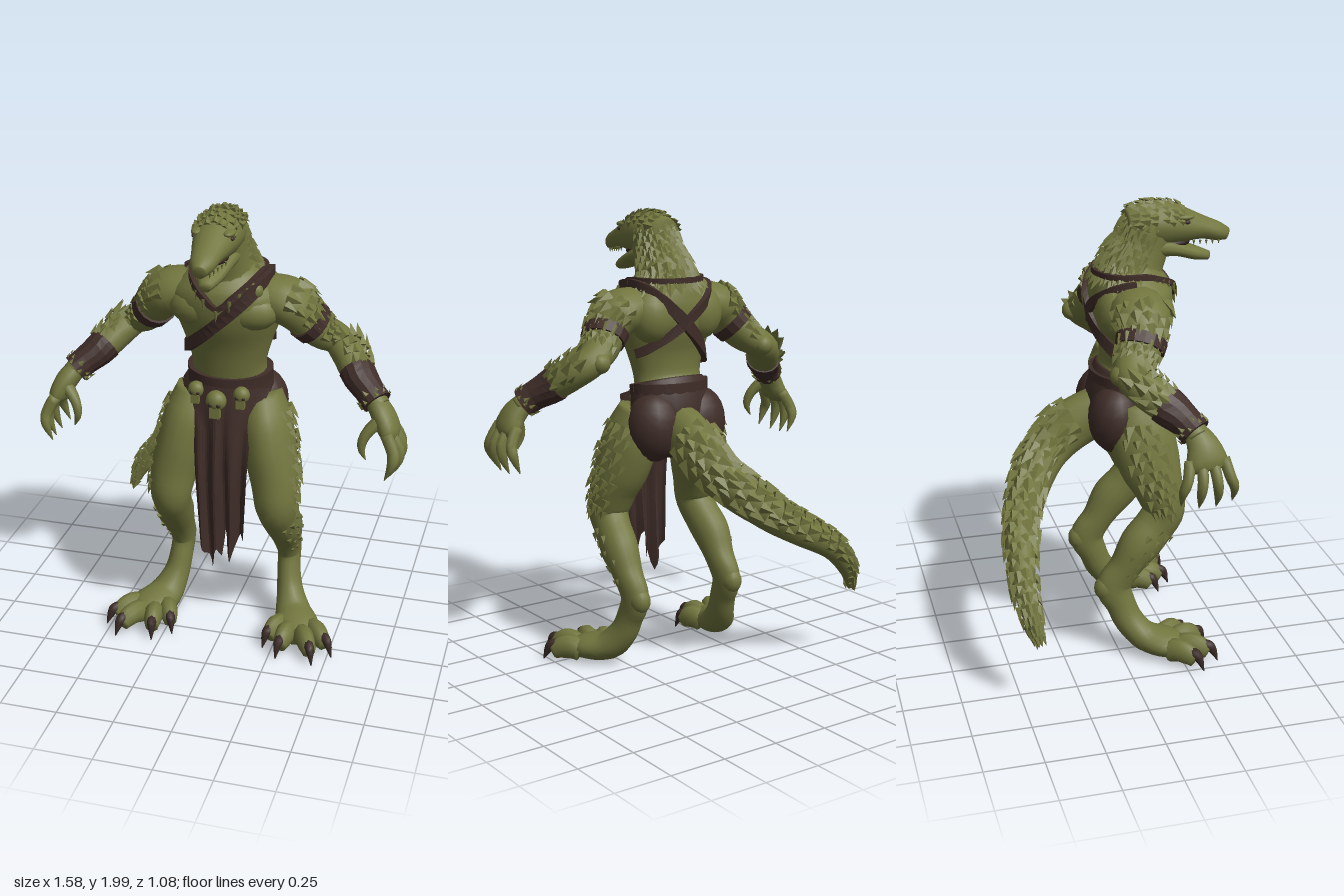
import * as THREE from 'three';
import { mergeGeometries } from 'three/addons/utils/BufferGeometryUtils.js';

const V = (x, y, z) => new THREE.Vector3(x, y, z);
const X = V(1, 0, 0), Z = V(0, 0, 1), PI = Math.PI;
let seed = 7;
const rnd = () => (seed = (seed * 16807) % 2147483647) / 2147483647;

// Smooth body through sections [x, y, z, radius along ref, radius across]
function surface(rows, ref) {
  const at = (t) => {
    const f = Math.min(Math.max(t, 0), 1) * (rows.length - 1), i = Math.min(Math.floor(f), rows.length - 2), u = f - i;
    const [p, q, r, s] = [-1, 0, 1, 2].map((k) => rows[Math.min(Math.max(i + k, 0), rows.length - 1)]);
    return q.map((v, c) => v + 0.5 * u * (r[c] - p[c] + u * (2 * p[c] - 5 * v + 4 * r[c] - s[c] + u * (3 * (v - r[c]) + s[c] - p[c]))));
  };
  const centre = (t) => V(...at(t).slice(0, 3));
  const point = (t, a) => {
    const c = centre(t), row = at(t);
    const tan = centre(Math.min(t + 0.01, 1)).sub(centre(Math.max(t - 0.01, 0))).normalize();
    const b = (typeof ref === 'function' ? ref(c) : ref).clone();
    b.addScaledVector(tan, -b.dot(tan)).normalize();
    const n = b.clone().cross(tan);
    return c.addScaledVector(b, row[3] * Math.cos(a)).addScaledVector(n, row[4] * Math.sin(a));
  };
  return { centre, point };
}

// Skin a surface with rings and end caps
function skin(s, n = 16, steps = 24, phase = 0) {
  const pos = [], idx = [];
  for (let i = 0; i <= steps; i++)
    for (let j = 0; j < n; j++) pos.push(...s.point(i / steps, phase + (j / n) * 2 * PI).toArray());
  pos.push(...s.centre(0).toArray(), ...s.centre(1).toArray());
  const c0 = (steps + 1) * n, last = steps * n;
  for (let j = 0; j < n; j++) {
    const k = (j + 1) % n;
    for (let i = 0; i < steps; i++) {
      const a = i * n + j, b = i * n + k;
      idx.push(a, a + n, b, b, a + n, b + n);
    }
    idx.push(c0, j, k, c0 + 1, last + k, last + j);
  }
  const g = new THREE.BufferGeometry();
  g.setAttribute('position', new THREE.Float32BufferAttribute(pos, 3));
  g.setIndex(idx);
  g.computeVertexNormals();
  return g;
}
const loft = (rows, ref, n, steps) => skin(surface(rows, ref), n, steps);
function flat(g) {
  const f = g.toNonIndexed();
  f.computeVertexNormals();
  return f;
}
function ball(x, y, z, rx, ry, rz) {
  return new THREE.SphereGeometry(1, 16, 12).scale(rx, ry, rz).translate(x, y, z);
}

// Rows of pointed scales over part of a surface
function scales(s, [t0, t1, nt], [a0, a1, na], size, lift, flow) {
  const pos = [];
  for (let i = 0; i < nt; i++) for (let j = 0; j < na; j++) {
    const t = t0 + (t1 - t0) * (i + 0.3 + rnd() * 0.4) / nt;
    const a = a0 + (a1 - a0) * (j + (i % 2) * 0.5 + rnd() * 0.4) / na;
    const p = s.point(t, a), n = p.clone().sub(s.centre(t)).normalize();
    const u = s.point(Math.min(t + 0.02, 1), a).sub(s.point(t - 0.02, a)).multiplyScalar(flow).normalize();
    const w = u.clone().cross(n).normalize(), k = size * (0.7 + rnd() * 0.6) * (1 - 0.35 * i / nt);
    p.addScaledVector(n, -0.08 * k);
    const L = p.clone().addScaledVector(w, -0.5 * k), R = p.clone().addScaledVector(w, 0.5 * k);
    const M = p.clone().addScaledVector(n, 0.4 * k).addScaledVector(u, -0.1 * k);
    const T = p.clone().addScaledVector(u, k).addScaledVector(n, lift * k);
    for (const v of [M, T, L, M, R, T, M, L, R, T, R, L]) pos.push(v.x, v.y, v.z);
  }
  const g = new THREE.BufferGeometry();
  g.setAttribute('position', new THREE.Float32BufferAttribute(pos, 3));
  g.computeVertexNormals();
  return g;
}
function mirrored(g) {
  const m = g.clone().scale(-1, 1, 1);
  const order = g.index ? Array.from(g.index.array) : Array.from({ length: g.attributes.position.count }, (_, i) => i);
  m.setIndex(order.reverse());
  return m;
}

export function createModel() {
  const group = new THREE.Group();
  const mat = (name, color, side = THREE.FrontSide) => {
    const m = new THREE.MeshStandardMaterial({ color, side });
    m.name = name;
    return m;
  };
  const hide = mat('green hide', 0x72763e), leather = mat('brown leather', 0x3f2d28, THREE.DoubleSide);
  const horn = mat('dark horn', 0x3a2b27), mouth = mat('mouth', 0x2c1d1b);
  const add = (name, g, m) => {
    const mesh = new THREE.Mesh(g, m);
    mesh.name = name;
    group.add(mesh);
  };
  const pair = (name, g, m) => { add('left' + name, g, m); add('right' + name, mirrored(g), m); };

  // Torso
  const torso = surface([[0, 0.98, 0.06, 0.1, 0.1], [0, 1.08, 0.06, 0.17, 0.13], [0, 1.2, 0.07, 0.17, 0.12],
    [0, 1.28, 0.09, 0.16, 0.11], [0, 1.38, 0.1, 0.185, 0.125], [0, 1.48, 0.105, 0.22, 0.16],
    [0, 1.58, 0.11, 0.25, 0.175], [0, 1.65, 0.11, 0.2, 0.165], [0, 1.7, 0.115, 0.145, 0.14], [0, 1.74, 0.125, 0.11, 0.12]], X);
  add('torso', skin(torso, 24, 36), hide);
  pair('Pectoral', ball(0.105, 1.545, 0.172, 0.13, 0.09, 0.097), hide);
  pair('ShoulderBlade', ball(0.12, 1.55, 0.02, 0.11, 0.12, 0.09), hide);
  add('backScales', scales(torso, [0.8, 0.96, 5], [PI, 2 * PI, 15], 0.045, 0.4, -1), hide);

  // Neck and head
  const neck = surface([[0, 1.64, 0.1, 0.16, 0.15], [0, 1.72, 0.12, 0.122, 0.138], [0, 1.8, 0.16, 0.1, 0.12],
    [0, 1.88, 0.19, 0.092, 0.11], [0, 1.93, 0.21, 0.065, 0.08]], X);
  add('neck', skin(neck), hide);
  add('neckScales', scales(neck, [0.15, 0.95, 10], [PI * 0.95, PI * 2.03, 12], 0.046, 0.45, -1), hide);
  const head = surface([[0, 1.88, 0.09, 0.065, 0.07], [0, 1.885, 0.16, 0.094, 0.088], [0, 1.885, 0.25, 0.1, 0.094],
    [0, 1.872, 0.33, 0.087, 0.076], [0, 1.855, 0.42, 0.065, 0.05], [0, 1.833, 0.49, 0.05, 0.04],
    [0, 1.818, 0.535, 0.026, 0.027]], X);
  add('head', skin(head), hide);
  add('headScales', scales(head, [0.08, 0.5, 6], [PI * 1.05, PI * 1.9, 9], 0.04, 0.45, -1), hide);
  add('lowerJaw', loft([[0, 1.795, 0.2, 0.088, 0.06], [0, 1.777, 0.3, 0.074, 0.036], [0, 1.747, 0.39, 0.052, 0.03],
    [0, 1.728, 0.455, 0.024, 0.02]], X, 12, 12), hide);
  add('mouthInterior', ball(0, 1.8, 0.29, 0.055, 0.028, 0.08), mouth);
  pair('Brow', ball(0.065, 1.92, 0.325, 0.025, 0.014, 0.045), hide);
  pair('Eye', ball(0.078, 1.9, 0.335, 0.01, 0.009, 0.014), horn);
  const teeth = [];
  for (let i = 0; i < 5; i++)
    teeth.push(new THREE.ConeGeometry(0.006, 0.022, 5).rotateX(PI).translate(0.062 - i * 0.008, 1.805 - i * 0.003, 0.37 + i * 0.03));
  pair('Teeth', mergeGeometries(teeth), hide);

  // Arms with bands, bracers and spikes
  const arm = surface([[0.14, 1.595, 0.09, 0.11, 0.08], [0.25, 1.565, 0.09, 0.125, 0.1], [0.32, 1.5, 0.075, 0.1, 0.085],
    [0.38, 1.43, 0.035, 0.088, 0.075], [0.445, 1.385, 0.005, 0.075, 0.065], [0.5, 1.345, 0.045, 0.08, 0.07],
    [0.56, 1.285, 0.12, 0.073, 0.065], [0.63, 1.23, 0.185, 0.055, 0.05], [0.67, 1.19, 0.21, 0.05, 0.045]], Z);
  pair('Arm', skin(arm, 16, 36), hide);
  pair('Elbow', ball(0.43, 1.385, -0.04, 0.045, 0.045, 0.048), hide);
  pair('ShoulderScales', scales(arm, [0.1, 0.42, 6], [0.2, PI + 0.1, 8], 0.052, 0.35, 1), hide);
  pair('ForearmSpikes', scales(arm, [0.56, 0.76, 4], [0.3, PI - 0.2, 5], 0.055, 0.6, -1), hide);
  pair('ArmBand', flat(loft([[0.325, 1.495, 0.073, 0.109, 0.094], [0.355, 1.46, 0.055, 0.104, 0.09]], Z, 16, 2)), leather);
  const bracer = surface([[0.55, 1.297, 0.105, 0.082, 0.074], [0.575, 1.272, 0.135, 0.08, 0.07],
    [0.62, 1.237, 0.176, 0.067, 0.062], [0.657, 1.205, 0.203, 0.068, 0.064]], Z);
  pair('Bracer', flat(skin(bracer, 14, 6)), leather);
  pair('BracerScales', scales(bracer, [0.75, 1, 2], [0, 2 * PI, 8], 0.024, 0.5, -1), hide);
  const hand = [loft([[0.65, 1.21, 0.2, 0.048, 0.042], [0.69, 1.16, 0.225, 0.07, 0.048],
    [0.72, 1.1, 0.235, 0.085, 0.043], [0.735, 1.07, 0.24, 0.06, 0.025]], Z, 12, 10)];
  for (let i = 0; i < 4; i++) {
    const z = 0.165 + i * 0.047, d = (i - 1.5) * 0.012, e = Math.abs(i - 1.5) * 0.012;
    hand.push(loft([[0.715, 1.11, z, 0.024, 0.026], [0.768 - e, 1.04, z + d, 0.023, 0.026],
      [0.768 - e, 0.975 + e, z + d * 2, 0.019, 0.021], [0.74 - e, 0.905 + e, z + d * 2, 0.002, 0.002]], Z, 8, 9));
  }
  hand.push(loft([[0.68, 1.15, 0.26, 0.03, 0.03], [0.632, 1.1, 0.29, 0.023, 0.023],
    [0.615, 1.04, 0.305, 0.017, 0.017], [0.635, 0.985, 0.3, 0.002, 0.002]], Z, 8, 8));
  pair('Hand', mergeGeometries(hand), hide);

  // Legs, heels, toes and claws
  const leg = surface([[0.14, 1.14, 0.09, 0.09, 0.1], [0.17, 1.02, 0.115, 0.11, 0.14], [0.2, 0.88, 0.15, 0.112, 0.135],
    [0.225, 0.77, 0.185, 0.103, 0.108], [0.235, 0.67, 0.205, 0.09, 0.092], [0.24, 0.6, 0.165, 0.08, 0.09],
    [0.25, 0.52, 0.095, 0.08, 0.092], [0.25, 0.42, 0.03, 0.064, 0.072], [0.25, 0.33, -0.022, 0.052, 0.08],
    [0.255, 0.24, 0.008, 0.052, 0.066], [0.27, 0.155, 0.045, 0.06, 0.065], [0.3, 0.085, 0.11, 0.08, 0.065],
    [0.34, 0.065, 0.2, 0.1, 0.06], [0.36, 0.05, 0.27, 0.075, 0.045]], X);
  pair('Leg', skin(leg, 16, 52), hide);
  pair('Heel', ball(0.25, 0.325, -0.055, 0.046, 0.06, 0.056), hide);
  pair('ThighScales', scales(leg, [0.04, 0.31, 10], [-0.6, 0.8, 4], 0.05, 0.5, 1), hide);
  pair('ShinScales', scales(leg, [0.36, 0.56, 5], [-1.1, 0.4, 3], 0.03, 0.3, 1), hide);
  const toes = [], claws = [];
  for (const [x0, z0, x1, z1, x2, z2] of [[0.27, 0.19, 0.24, 0.26, 0.21, 0.32], [0.31, 0.24, 0.3, 0.32, 0.285, 0.39],
    [0.37, 0.25, 0.415, 0.33, 0.45, 0.4], [0.4, 0.19, 0.46, 0.26, 0.52, 0.315]]) {
    const out = V(z2 - z0, 0, x0 - x2).normalize(), mix = (k) => [x1 + (x2 - x1) * k, z1 + (z2 - z1) * k];
    const [xa, za] = mix(0.45), [xb, zb] = mix(0.7);
    toes.push(loft([[x0, 0.055, z0, 0.042, 0.05], [(x0 + x1) / 2, 0.07, (z0 + z1) / 2, 0.042, 0.054],
      [x1, 0.06, z1, 0.038, 0.05], [xa, 0.042, za, 0.028, 0.036]], out, 10, 8));
    claws.push(loft([[x1, 0.08, z1, 0.018, 0.02], [xa, 0.075, za, 0.022, 0.024], [xb, 0.055, zb, 0.017, 0.02],
      [x2, 0.003, z2, 0.002, 0.002]], out, 8, 8));
  }
  pair('Toes', mergeGeometries(toes), hide);
  pair('ToeClaws', mergeGeometries(claws), horn);

  // Tail
  const tail = surface([[0.01, 1.07, 0, 0.1, 0.11], [0.015, 1.01, -0.13, 0.09, 0.115], [0, 0.92, -0.24, 0.09, 0.1],
    [-0.07, 0.83, -0.33, 0.088, 0.092], [-0.19, 0.73, -0.4, 0.078, 0.082], [-0.33, 0.64, -0.45, 0.066, 0.072],
    [-0.49, 0.54, -0.47, 0.051, 0.056], [-0.585, 0.43, -0.46, 0.038, 0.04], [-0.63, 0.32, -0.435, 0.01, 0.01]],
    (c) => V(1, 0, 0).lerp(V(0, 0, -1), Math.min(1, Math.max(0, -c.x * 2.4))));
  add('tail', skin(tail, 14, 36), hide);
  add('tailScales', scales(tail, [0.1, 0.97, 24], [-0.35, PI + 0.2, 7], 0.064, 0.42, 1), hide);

  // Loincloth: hip wrap and a torn front panel with folds
  add('hipWrap', loft([[0, 0.92, 0.03, 0.05, 0.05], [0, 1, 0.04, 0.14, 0.11], [0, 1.1, 0.055, 0.185, 0.14],
    [0, 1.2, 0.07, 0.187, 0.135], [0, 1.255, 0.085, 0.17, 0.12]], X, 20, 14), leather);
  pair('HipCover', ball(0.115, 1.07, 0.02, 0.128, 0.155, 0.12), leather);
  const hem = [0.47, 0.42, 0.4, 0.33, 0.46, 0.4, 0.56, 0.38, 0.46, 0.52, 0.5];
  const cloth = new THREE.PlaneGeometry(1, 1, 24, 20), cp = cloth.attributes.position;
  for (let i = 0; i < cp.count; i++) {
    const u = cp.getX(i) + 0.5, v = 0.5 - cp.getY(i), k = Math.min(Math.floor(u * 10), 9);
    const bottom = THREE.MathUtils.lerp(hem[k], hem[k + 1], u * 10 - k);
    const x = (u - 0.5) * 2 * (0.135 - 0.035 * v + 0.06 * Math.max(0, 1 - 4 * v));
    const z = 0.222 + 0.08 * Math.sin(Math.min(1, v * 1.5) * PI / 2) - 0.045 * v - x * x * 1.6;
    cp.setXYZ(i, x + 0.005, THREE.MathUtils.lerp(1.2, bottom, v), z + 0.024 * v * Math.sin(u * 20));
  }
  add('loincloth', flat(cloth), leather);

  // Straps that follow the torso
  const strap = (name, height, width, a0 = 0, a1 = 2 * PI) => {
    const rows = [];
    for (let i = 0; i <= 28; i++) {
      let t = 0.6, p;
      for (let k = 0; k < 25; k++) {
        p = torso.point(t, a0 + (a1 - a0) * i / 28);
        t = Math.min(0.97, Math.max(0.05, t + (height(p) - p.y) * 0.6));
      }
      const out = V(p.x, 0, p.z - 0.1).normalize();
      p.addScaledVector(out, 0.008);
      rows.push([p.x, p.y, p.z, 0.016, width]);
    }
    add(name, flat(skin(surface(rows, (c) => V(c.x, 0, c.z - 0.1)), 4, 56, PI / 4)), leather);
    return rows;
  };
  strap('chestStrap', (p) => 1.51 + p.x, 0.036);
  strap('backStrap', (p) => 1.53 - 0.8 * p.x, 0.028, PI + 0.15, 2 * PI - 0.35);
  strap('belt', (p) => 1.235 - 0.2 * Math.max(0, p.z - 0.05), 0.034);
  const cord = strap('necklace', (p) => 1.7 - Math.max(0, Math.min(1, (p.z - 0.1) * 12)) * Math.max(0, 0.125 - 0.85 * Math.abs(p.x)), 0.016);
  add('necklaceTeeth', mergeGeometries(cord.filter((r) => r[2] > 0.16).map(([x, y, z]) =>
    new THREE.ConeGeometry(0.012, 0.05, 5).rotateX(PI - 0.25).translate(x, y - 0.025, z + 0.012))), hide);
  add('strapRosette', ball(0.14, 1.645, 0.215, 0.035, 0.035, 0.03), hide);

  // Belt skulls
  for (const [x, y, r] of [[-0.115, 1.175, 0.036], [-0.02, 1.145, 0.045], [0.085, 1.175, 0.036]]) {
    const z = 0.24 - Math.abs(x) * 0.3;
    add('beltSkull', mergeGeometries([ball(x, y, z, r, r, r * 0.9),
      new THREE.BoxGeometry(r, r * 1.1, r).translate(x, y - r, z + r * 0.25)]), hide);
    for (const s of [-1, 1]) add('skullSocket', ball(x + s * r * 0.4, y - r * 0.2, z + r * 0.75, r * 0.22, r * 0.22, r * 0.15), horn);
  }
  return group;
}
